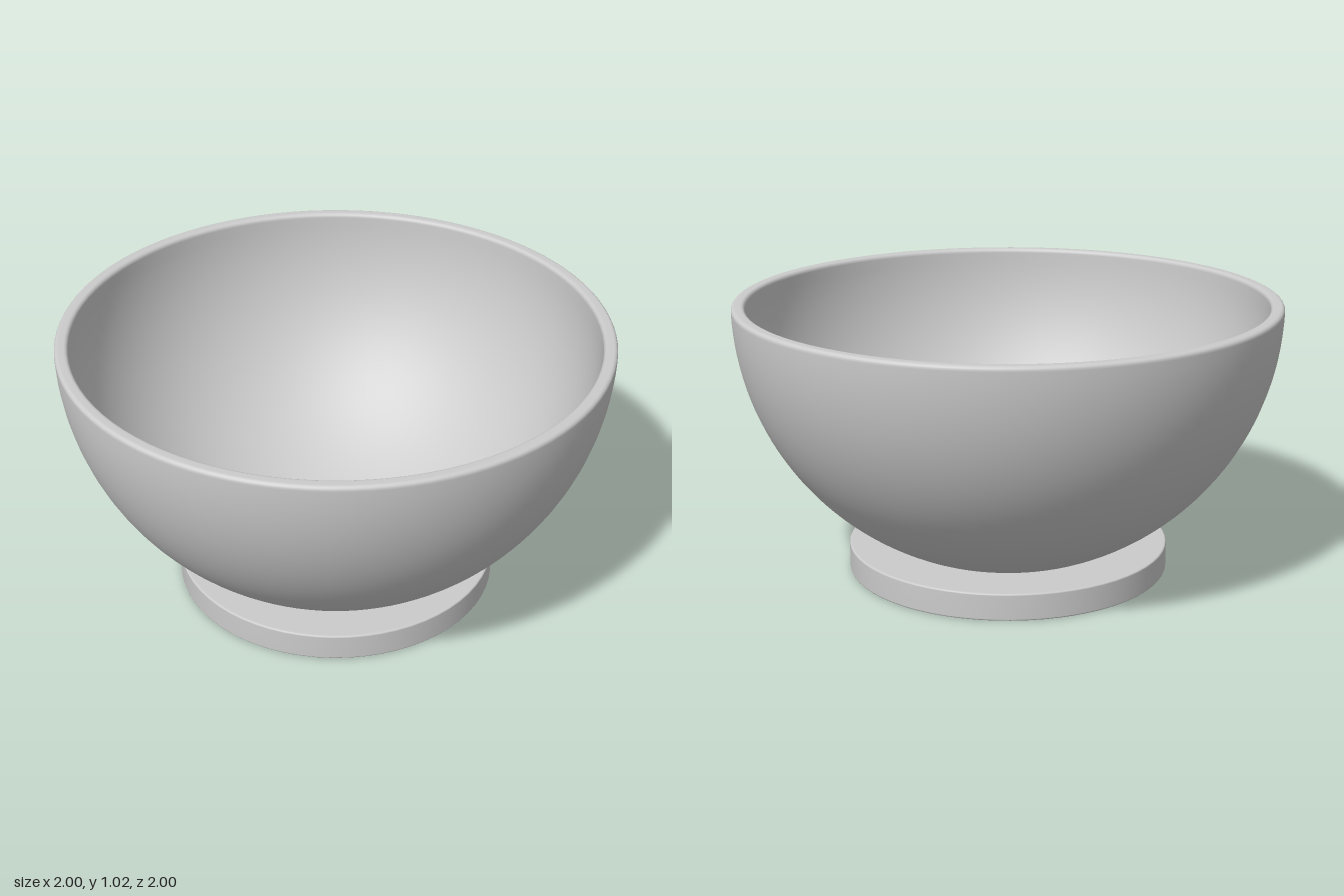
import * as THREE from 'three';

const material = new THREE.MeshStandardMaterial({ color: 0xcccccc });

function turned(name, points, segments) {
  const mesh = new THREE.Mesh(new THREE.LatheGeometry(points, segments), material);
  mesh.name = name;
  return mesh;
}

// points on a circle around (cx, cy), angles in degrees
function arc(cx, cy, r, from, to, steps) {
  return Array.from({ length: steps + 1 }, (_, i) => {
    const a = THREE.MathUtils.degToRad(from + (to - from) * i / steps);
    return new THREE.Vector2(Math.max(0, cx + r * Math.cos(a)), cy + r * Math.sin(a));
  });
}

export function createModel() {
  const group = new THREE.Group();
  group.name = 'footedBowl';

  // hemispherical shell: outside, rounded rim, inside
  const top = 1.02, outer = 1, inner = 0.95, lip = 0.015;
  group.add(turned('bowl', [
    ...arc(0, top, outer, -90, -1, 40),
    ...arc(outer - lip, top - lip, lip, 15, 90, 4),
    ...arc(inner + lip, top - lip, lip, 90, 165, 4),
    ...arc(0, top, inner, -1, -90, 40),
  ], 96));

  // solid foot disc; its top shows as a flat floor inside the bowl
  const r = 0.597, h = 0.1, bevel = 0.006;
  group.add(turned('foot', [
    new THREE.Vector2(0, 0),
    new THREE.Vector2(r - bevel * 2, 0),
    ...arc(r - bevel, bevel, bevel, -90, 0, 3),
    ...arc(r - bevel, h - bevel, bevel, 0, 90, 3),
    new THREE.Vector2(r - bevel * 2, h),
    new THREE.Vector2(0, h),
  ], 64));

  return group;
}
